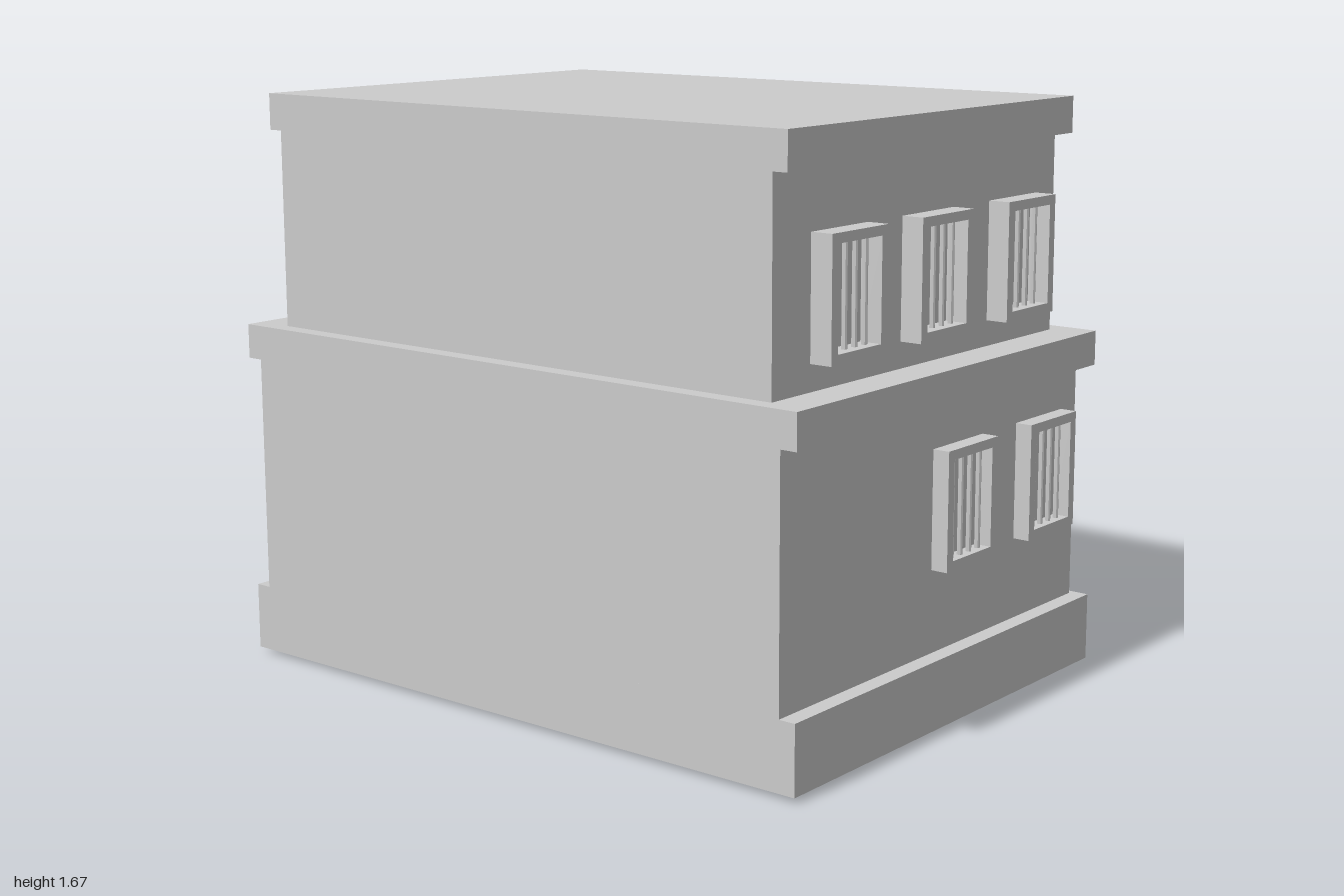
import * as THREE from 'three';

export function createModel() {
  const model = new THREE.Group();
  model.name = 'building';
  const grey = new THREE.MeshStandardMaterial({ color: 0xcccccc, flatShading: true });
  const shell = new THREE.MeshStandardMaterial({ color: 0xcccccc, flatShading: true, side: THREE.DoubleSide });

  const add = (parent, name, geometry, material = grey) => {
    const mesh = new THREE.Mesh(geometry, material);
    mesh.name = name;
    parent.add(mesh);
    return mesh;
  };

  // Box given by its limits on each axis
  const block = (name, x0, x1, y0, y1, z0, z1) => {
    const mesh = add(model, name, new THREE.BoxGeometry(x1 - x0, y1 - y0, z1 - z0));
    mesh.position.set((x0 + x1) / 2, (y0 + y1) / 2, (z0 + z1) / 2);
  };

  // Stacked storeys and bands, flush on the -x side
  block('plinth', -0.93, 0.52, 0.015, 0.21, -1, 1);
  block('lowerStorey', -0.93, 0.5, 0.21, 0.9, -0.95, 0.95);
  block('middleLedge', -0.93, 0.52, 0.9, 1.0, -1, 1);
  block('upperStorey', -0.88, 0.455, 1.0, 1.57, -0.885, 0.885);
  block('roofSlab', -0.88, 0.475, 1.57, 1.675, -0.93, 0.93);

  // Barred window: its back lies on the wall and it faces +z before turning
  const rectangle = (PathType, w, h) => new PathType([
    [-w, -h], [w, -h], [w, h], [-w, h],
  ].map(([x, y]) => new THREE.Vector2(x, y)));

  const addWindow = (x, y, z, turn, depth) => {
    const unit = new THREE.Group();
    unit.name = 'window';
    const outline = rectangle(THREE.Shape, 0.123, 0.167);
    outline.holes.push(rectangle(THREE.Path, 0.095, 0.14));
    add(unit, 'windowFrame', new THREE.ExtrudeGeometry(outline, { depth, bevelEnabled: false }));
    for (let i = 0; i < 4; i++) {
      const bar = add(unit, 'windowBar', new THREE.CylinderGeometry(0.008, 0.008, 0.3, 8));
      bar.position.set(-0.066 + i * 0.044, 0, depth * 0.5);
    }
    unit.position.set(x, y, z);
    unit.rotation.y = turn;
    model.add(unit);
  };

  const side = Math.PI / 2;
  for (const x of [-0.597, -0.193, 0.233]) addWindow(x, 1.24, 0.885, 0, 0.065);
  for (const x of [-0.125, 0.297]) addWindow(x, 0.612, 0.95, 0, 0.05);
  for (const z of [0.686, 0.272, -0.237, -0.652]) addWindow(0.455, 1.248, z, side, 0.065);
  for (const z of [0.686, -0.686]) addWindow(0.5, 0.607, z, side, 0.05);

  // Faceted entrance bay, open underneath: wall strips between plan corners
  const bay = [[0.5, 0.4], [0.7, 0.35], [0.797, 0.17], [0.797, -0.17], [0.7, -0.35], [0.5, -0.4]];
  for (let i = 0; i < bay.length - 1; i++) {
    const [ax, az] = bay[i], [bx, bz] = bay[i + 1];
    const wall = add(model, 'entranceWall',
      new THREE.PlaneGeometry(Math.hypot(bx - ax, bz - az), 0.8), shell);
    wall.position.set((ax + bx) / 2, 0.4, (az + bz) / 2);
    wall.rotation.y = Math.atan2(az - bz, bx - ax);
  }

  // Half-round canopy slab over the bay
  const canopyPlan = [[0.48, 0.41], [0.52, 0.405], [0.71, 0.375], [0.87, 0.215], [0.928, 0],
    [0.87, -0.215], [0.71, -0.375], [0.52, -0.41], [0.48, -0.41]];
  const canopyShape = new THREE.Shape(canopyPlan.map(([x, z]) => new THREE.Vector2(x, -z)));
  const canopy = new THREE.ExtrudeGeometry(canopyShape, { depth: 0.105, bevelEnabled: false });
  canopy.rotateX(-side);
  add(model, 'entranceCanopy', canopy).position.y = 0.793;

  // Blank hanging board that stands out from the upper wall
  block('hangingBoard', 0.455, 0.825, 1.12, 1.36, -0.027, 0.027);
  block('hangingBoardRails', 0.455, 0.825, 1.075, 1.403, -0.012, 0.012);

  return model;
}
